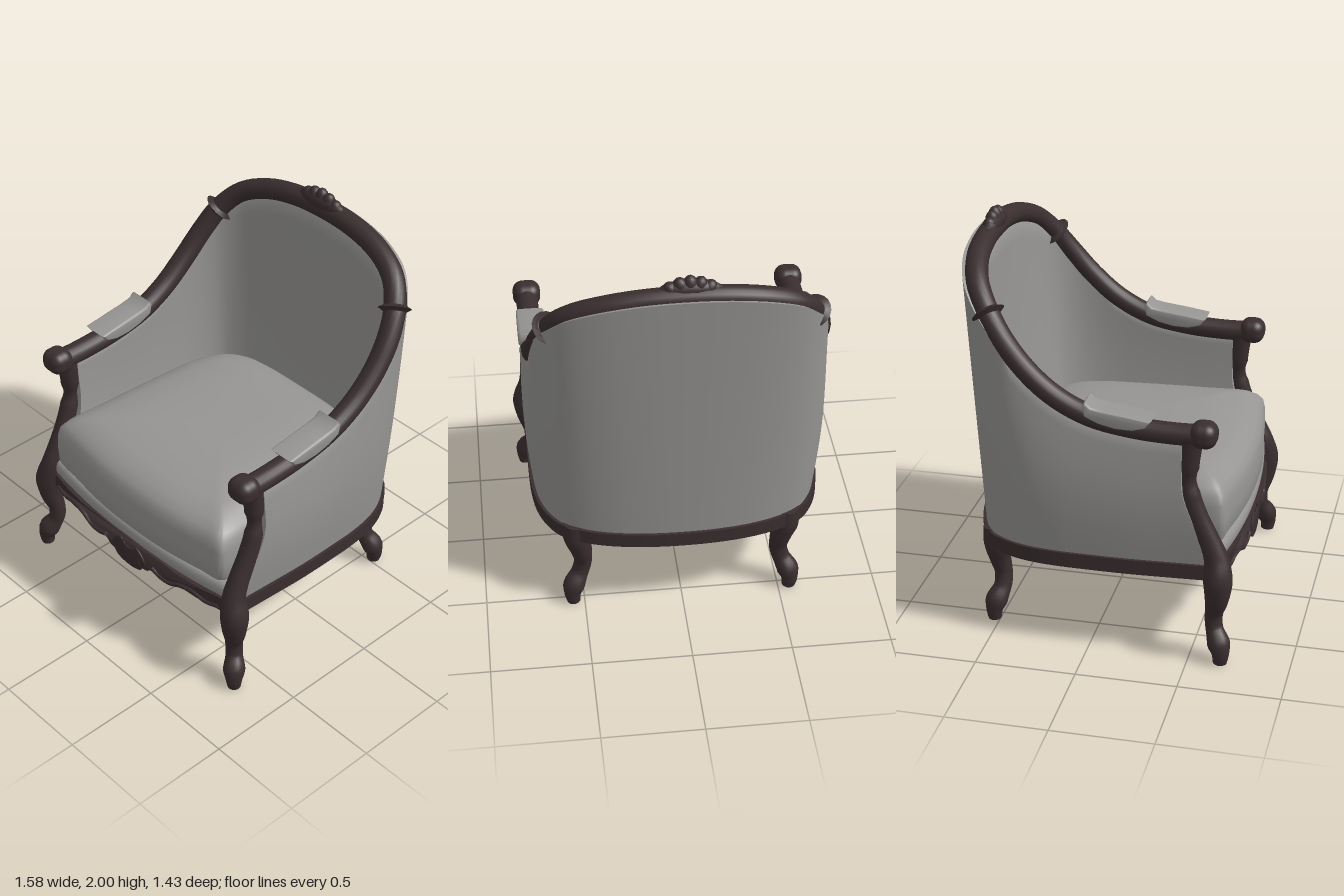
import * as THREE from 'three';
import { toCreasedNormals } from 'three/addons/utils/BufferGeometryUtils.js';
import { RoundedBoxGeometry } from 'three/addons/geometries/RoundedBoxGeometry.js';

const V = (x, y, z) => new THREE.Vector3(x, y, z);
const fabric = new THREE.MeshStandardMaterial({ color: 0x969593, side: THREE.DoubleSide });
fabric.name = 'grey fabric';
const wood = new THREE.MeshStandardMaterial({ color: 0x3a2e2f });
wood.name = 'dark wood';

const spline = (pts) => new THREE.CatmullRomCurve3(pts);
// Half list running to the centre line, continued by its mirror image
const mirrored = (pts) => [...pts, ...pts.slice(0, -1).reverse().map((p) => V(-p.x, p.y, p.z))];
// Outward direction in plan, for a path running from the left arm round the back
const outward = (t) => V(-t.z, 0, t.x).normalize();

// Skin a list of rings; wrap joins the end of each ring to its start
function loft(rings, wrap = true, crease = 0.9) {
  const m = rings[0].length, index = [];
  for (let i = 0; i < rings.length - 1; i++) {
    for (let j = 0; j < (wrap ? m : m - 1); j++) {
      const a = i * m + j, d = i * m + (j + 1) % m;
      index.push(a, a + m, d, a + m, d + m, d);
    }
  }
  const geo = new THREE.BufferGeometry().setFromPoints(rings.flat());
  geo.setIndex(index);
  geo.computeVertexNormals();
  return toCreasedNormals(geo, crease);
}

// Capped sweep with changing radii; each point is [x, y, z, r, r2]
function sweep(pts, steps, upright = false, sides = 14) {
  const path = spline(pts.map((p) => V(p[0], p[1], p[2])));
  const radii = spline(pts.map((p) => V(p[3], p[4] ?? p[3], 0)));
  const rings = [];
  for (let i = 0; i <= steps; i++) {
    const c = path.getPoint(i / steps), t = path.getTangent(i / steps), r = radii.getPoint(i / steps);
    const n = upright ? V(1, 0, 0) : outward(t);
    n.addScaledVector(t, -n.dot(t)).normalize();
    const b = t.clone().cross(n);
    const ring = [];
    for (let j = 0; j < sides; j++) {
      const a = (j / sides) * Math.PI * 2;
      ring.push(c.clone().addScaledVector(n, -Math.cos(a) * r.x).addScaledVector(b, Math.sin(a) * r.y));
    }
    if (i === 0) rings.push(ring.map(() => c.clone()));
    rings.push(ring);
    if (i === steps) rings.push(ring.map(() => c.clone()));
  }
  return loft(rings);
}

// Show-wood rail line and seat rail line, matched point for point
const topLine = spline(mirrored([
  V(0.69, 1.175, 0.56), V(0.69, 1.172, 0.4), V(0.69, 1.185, 0.2), V(0.69, 1.225, 0),
  V(0.69, 1.31, -0.17), V(0.685, 1.43, -0.31), V(0.665, 1.56, -0.42), V(0.62, 1.68, -0.505),
  V(0.53, 1.78, -0.575), V(0.38, 1.845, -0.62), V(0.2, 1.88, -0.64), V(0, 1.89, -0.645)]));
const baseLine = spline(mirrored([
  V(0.69, 0.5, 0.59), V(0.7, 0.5, 0.4), V(0.71, 0.5, 0.2), V(0.71, 0.5, 0),
  V(0.705, 0.5, -0.17), V(0.685, 0.5, -0.31), V(0.645, 0.5, -0.42), V(0.58, 0.5, -0.51),
  V(0.48, 0.5, -0.565), V(0.35, 0.5, -0.605), V(0.18, 0.5, -0.63), V(0, 0.5, -0.637)]));
const postZ = (y) => 0.455 + 0.13 * THREE.MathUtils.smoothstep(0.95 - y, 0, 0.45);
const frontZ = (x) => 0.69 - 0.13 * x * x;

// Upholstered wall: outer face, top edge and inner face in one skin, closed at the posts
function shellGeometry() {
  const rings = [], steps = 110, rows = 12;
  for (let i = 0; i <= steps; i++) {
    const t = i / steps, p = topLine.getPoint(t), b = baseLine.getPoint(t);
    const n = outward(baseLine.getTangent(t));
    const back = THREE.MathUtils.smoothstep(-p.z, 0.25, 0.62);
    const outTop = p.clone().addScaledVector(n, 0.032 + 0.038 * back).add(V(0, -0.04 + 0.05 * back, 0));
    const outBase = b.clone().addScaledVector(n, 0.014);
    const inTop = p.clone().addScaledVector(n, -0.03).add(V(0, -0.025, 0));
    const inBase = b.clone().addScaledVector(n, -0.107).setY(0.59);
    const ring = [];
    for (let k = 0; k <= rows; k++) {
      const v = k / rows;
      ring.push(outBase.clone().lerp(outTop, v).addScaledVector(n, 0.027 * Math.sin(Math.PI * v) * (1 - back)));
    }
    ring.push(p.clone());
    for (let k = rows; k >= 0; k--) {
      const v = k / rows;
      ring.push(inBase.clone().lerp(inTop, v).addScaledVector(n, 0.012 * Math.sin(Math.PI * v)));
    }
    ring.forEach((q) => { q.z = Math.min(q.z, postZ(q.y)); });
    rings.push(ring);
  }
  const cap = (ring) => ring.map((q, j) => q.clone().lerp(ring[ring.length - 1 - j], 0.5));
  return loft([cap(rings[0]), ...rings, cap(rings[steps])], false, 1);
}

// Rectangular seat rail round the sides and back
function seatRailGeometry() {
  const rings = [];
  for (let i = 0; i <= 80; i++) {
    const p = baseLine.getPoint(i / 80), n = outward(baseLine.getTangent(i / 80));
    rings.push([[0.03, -0.07], [0.03, 0.005], [-0.04, 0.005], [-0.04, -0.07]]
      .map(([o, y]) => p.clone().addScaledVector(n, o).add(V(0, y, 0))));
  }
  return loft(rings);
}

// Loose cushion, open underneath: plan outline stacked up through a crowned profile
function cushionGeometry() {
  const half = [V(0, 0, -0.535), V(0.25, 0, -0.53), V(0.4, 0, -0.505), V(0.51, 0, -0.43), V(0.575, 0, -0.28),
    V(0.605, 0, 0), V(0.625, 0, 0.4), V(0.635, 0, 0.6), V(0.62, 0, 0.64), V(0.5, 0, 0.66), V(0.25, 0, 0.695), V(0, 0, 0.705)];
  const loop = [...half, ...half.slice(1, -1).reverse().map((p) => V(-p.x, 0, p.z))];
  const outline = new THREE.CatmullRomCurve3(loop, true).getPoints(110).slice(0, -1);
  const profile = [[0.97, 0.588], [0.995, 0.62], [1, 0.7], [0.997, 0.78], [0.98, 0.83],
    [0.94, 0.862], [0.87, 0.893], [0.75, 0.92], [0.5, 0.937], [0.25, 0.942], [0, 0.943]];
  return loft(profile.map(([s, y]) => outline.map((p) => V(p.x * s, y, 0.08 + (p.z - 0.08) * s))));
}

// Scalloped front apron, bowed forward
function apronGeometry() {
  const v2 = (list) => list.map(([x, y]) => new THREE.Vector2(x, y));
  const lower = [[0.66, 0.43], [0.58, 0.43], [0.48, 0.425], [0.4, 0.43], [0.34, 0.425], [0.29, 0.4], [0.23, 0.4],
    [0.18, 0.415], [0.14, 0.39], [0.11, 0.385], [0.085, 0.36], [0.04, 0.348], [0, 0.345]];
  const upper = [[0, 0.525], [0.1, 0.522], [0.25, 0.515], [0.35, 0.503], [0.5, 0.503], [0.66, 0.515]];
  const flip = (list) => list.slice().reverse().map(([x, y]) => [-x, y]);
  const shape = new THREE.Shape(new THREE.SplineCurve(v2([...flip(upper), ...upper.slice(1)])).getPoints(50));
  new THREE.SplineCurve(v2([...lower, ...flip(lower).slice(1)])).getPoints(80).forEach((p) => shape.lineTo(p.x, p.y));
  const geo = new THREE.ExtrudeGeometry(shape, { depth: 0.05, bevelEnabled: false });
  const pos = geo.attributes.position;
  for (let i = 0; i < pos.count; i++) pos.setZ(i, pos.getZ(i) - 0.035 + frontZ(pos.getX(i)));
  geo.computeVertexNormals();
  return toCreasedNormals(geo, 0.7);
}

// Padded arm rest, drawn in side profile, extruded across the arm and rounded over it
function armPadGeometry() {
  const side = [[0.305, 1.242], [0.2, 1.257], [0.08, 1.272], [0.02, 1.283], [-0.005, 1.305], [-0.015, 1.29],
    [-0.005, 1.245], [0.06, 1.215], [0.14, 1.197], [0.22, 1.195], [0.28, 1.212]];
  const shape = new THREE.Shape(side.map(([z, y]) => new THREE.Vector2(-z, y)));
  const geo = new THREE.ExtrudeGeometry(shape, { depth: 0.1, bevelThickness: 0.02, bevelSize: 0.01, bevelOffset: -0.004, bevelSegments: 5 });
  geo.translate(0, 0, -0.05).rotateY(Math.PI / 2);
  return toCreasedNormals(geo, 1);
}

export function createModel() {
  const chair = new THREE.Group();
  chair.name = 'armchair';
  const add = (name, geo, mat = wood) => {
    const mesh = new THREE.Mesh(geo, mat);
    mesh.name = name;
    chair.add(mesh);
    return mesh;
  };
  const blob = (name, pos, size, turn = 0) => {
    const mesh = add(name, new THREE.SphereGeometry(1, 14, 10));
    mesh.position.set(...pos);
    mesh.scale.set(...size);
    mesh.rotation.z = turn;
  };

  // Upholstery
  add('upholsteredShell', shellGeometry(), fabric);
  add('seatCushion', cushionGeometry(), fabric);
  const across = [-0.65, -0.4, -0.2, 0, 0.2, 0.4, 0.65];
  add('frontSeatBand', sweep(across.map((x) => [x, 0.543, frontZ(x) - 0.024, 0.032, 0.05]), 32), fabric);

  // Frame
  add('seatRail', seatRailGeometry());
  add('frontApron', apronGeometry());
  add('topRail', sweep(topLine.points.map((p) => [p.x, p.y, p.z, 0.056, 0.053]), 110, false, 18));

  for (const s of [1, -1]) {
    const side = s > 0 ? 'left' : 'right';
    const flip = (pts) => pts.map(([x, ...rest]) => [x * s, ...rest]);

    // Front post running down into a cabriole leg
    add(side + 'FrontLeg', sweep(flip([
      [0.69, 1.17, 0.5, 0.053], [0.69, 1.0, 0.485, 0.047], [0.695, 0.88, 0.492, 0.047], [0.695, 0.75, 0.535, 0.049],
      [0.695, 0.63, 0.59, 0.053], [0.7, 0.54, 0.625, 0.06], [0.72, 0.44, 0.638, 0.071], [0.715, 0.34, 0.635, 0.06],
      [0.695, 0.24, 0.618, 0.044], [0.7, 0.17, 0.622, 0.043], [0.73, 0.1, 0.65, 0.056],
      [0.742, 0.05, 0.662, 0.043], [0.74, 0, 0.66, 0.034]]), 60, true));
    add(side + 'BackLeg', sweep(flip([
      [0.53, 0.51, -0.52, 0.062], [0.53, 0.42, -0.515, 0.068], [0.51, 0.33, -0.51, 0.056], [0.5, 0.24, -0.495, 0.046],
      [0.515, 0.17, -0.495, 0.045], [0.55, 0.1, -0.52, 0.056], [0.56, 0.05, -0.53, 0.043], [0.555, 0, -0.53, 0.034]]), 44, true));

    // Arm scroll, pad and collar
    add(side + 'ArmScroll', new RoundedBoxGeometry(0.142, 0.124, 0.13, 5, 0.052)).position.set(0.69 * s, 1.182, 0.553);
    add(side + 'ArmPad', armPadGeometry(), fabric).position.x = 0.685 * s;
    const middle = topLine.getPoint(0.315), along = topLine.getTangent(0.315);
    const collar = [-0.016, -0.008, 0.008, 0.016].map((d, i) => {
      const p = middle.clone().addScaledVector(along, d);
      return [p.x * s, p.y, p.z, i % 3 ? 0.066 : 0.058];
    });
    // The right collar runs in reverse so that its path still goes round the back
    add(side + 'RailCollar', sweep(s > 0 ? collar : collar.reverse(), 8, false, 18));

    // Carved scrolls on the apron
    const scroll = [[0.62, 0.45], [0.54, 0.435], [0.46, 0.45], [0.38, 0.44], [0.3, 0.41], [0.23, 0.412], [0.18, 0.43]];
    add(side + 'ApronScroll', sweep(flip(scroll.map(([x, y]) => [x, y, frontZ(x) + 0.014, 0.011])), 36, false, 8));
  }

  // Fanned carving on the crest and at the middle of the apron
  blob('crestBody', [-0.02, 1.925, -0.635], [0.15, 0.05, 0.045]);
  for (let k = -3; k <= 3; k++) {
    blob('crestLeaf', [-0.02 + k * 0.042, 1.947 - 0.005 * k * k, -0.637], [0.036, 0.053 - 0.003 * Math.abs(k), 0.035], -k * 0.35);
    blob('apronLeaf', [k * 0.028, 0.405 + 0.005 * k * k, frontZ(0) + 0.012], [0.026, 0.055, 0.009], k * 0.25);
  }
  return chair;
}
